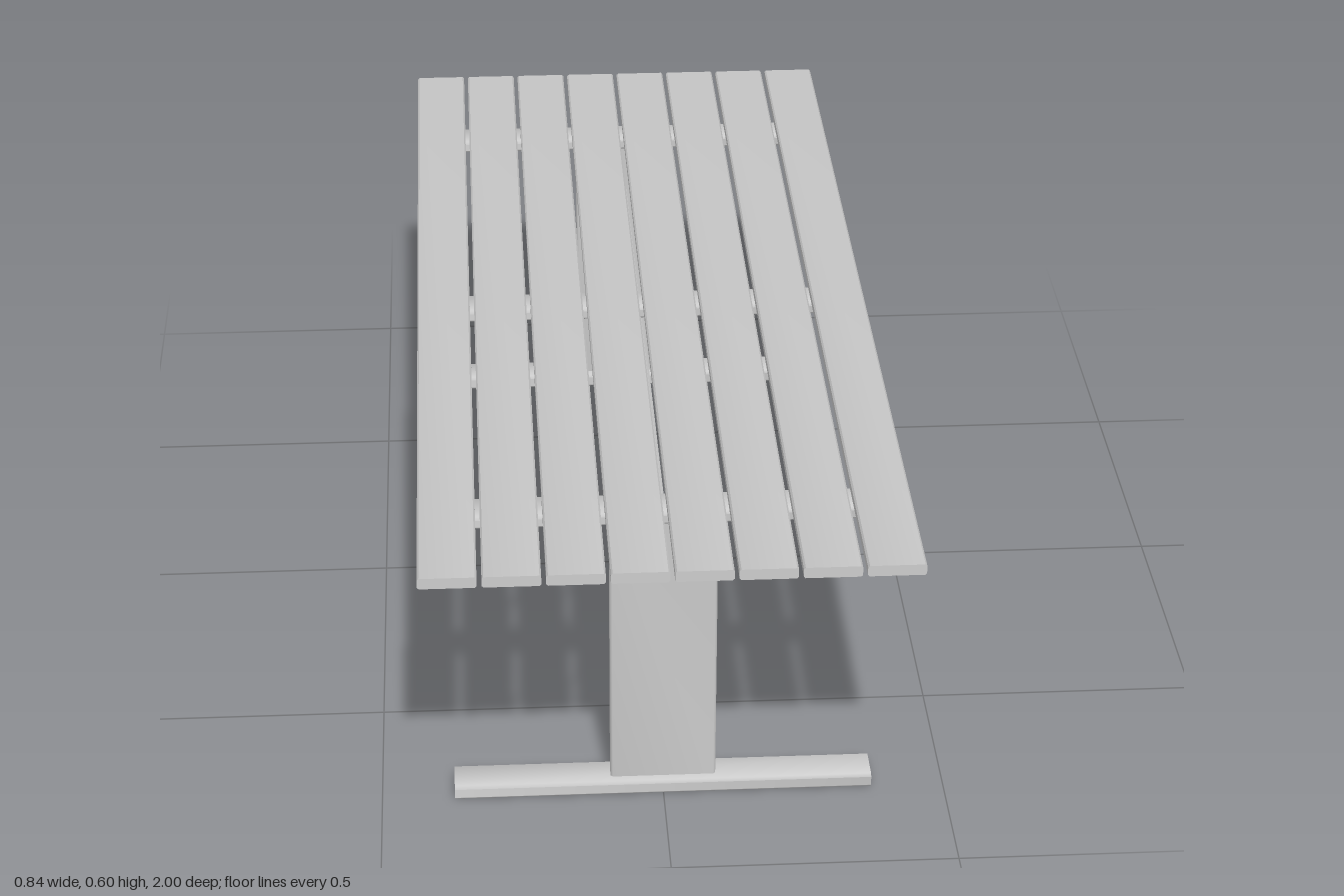
import * as THREE from 'three';
import { toCreasedNormals } from 'three/addons/utils/BufferGeometryUtils.js';

const material = new THREE.MeshStandardMaterial({ color: 0xcccccc });

// Board with eased long edges (w x h section), running along z, centred
function board(w, h, length, ease = 0.004) {
  const a = w / 2, b = h / 2, c = ease;
  const section = new THREE.Shape([
    [a - c, -b], [a, c - b], [a, b - c], [a - c, b],
    [c - a, b], [-a, b - c], [-a, c - b], [c - a, -b],
  ].map(([x, y]) => new THREE.Vector2(x, y)));
  const geometry = new THREE.ExtrudeGeometry(section, { depth: length, bevelEnabled: false });
  geometry.translate(0, 0, -length / 2);
  return toCreasedNormals(geometry, 0.9);
}

export function createModel() {
  const table = new THREE.Group();
  table.name = 'slattedTable';

  function add(name, geometry, x, y, z) {
    const mesh = new THREE.Mesh(geometry, material);
    mesh.name = name;
    mesh.position.set(x, y, z);
    table.add(mesh);
  }

  // Table top: eight long slats
  const slat = board(0.098, 0.02, 2, 0.003);
  for (let i = 0; i < 8; i++) {
    add('topSlat', slat, (i - 3.5) * 0.106, 0.594, 0);
  }

  // Battens under the slats
  const batten = board(0.07, 0.023, 0.742, 0.005).rotateY(Math.PI / 2);
  for (const z of [-0.747, 0, 0.747]) add('batten', batten, 0, 0.5725, z);

  // Leg panels and feet at both ends
  const leg = board(0.187, 0.032, 0.534).rotateX(-Math.PI / 2);
  const foot = board(0.07, 0.027, 0.742, 0.005).rotateY(Math.PI / 2);
  for (const z of [-0.747, 0.747]) {
    add('legPanel', leg, 0, 0.294, z);
    add('foot', foot, 0, 0.0135, z);
  }

  // Two stretchers between the legs
  const stretcher = board(0.03, 0.075, 1.466);
  for (const y of [0.183, 0.423]) add('stretcher', stretcher, 0, y, 0);

  return table;
}
